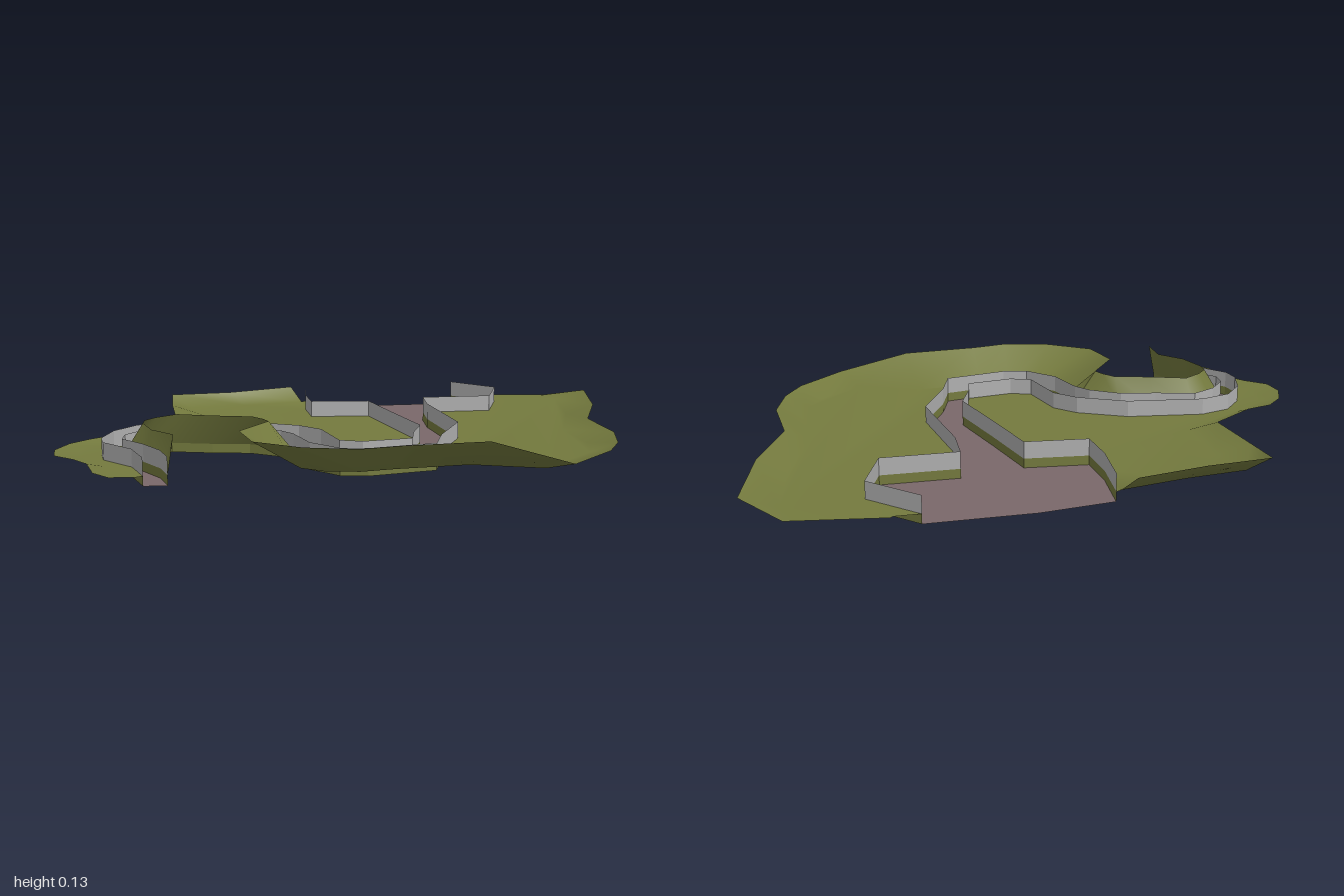
import * as THREE from 'three';
import { mergeVertices } from 'three/addons/utils/BufferGeometryUtils.js';

const GROUND = 0.03, RAIL_TOP = 0.085;
const mat = (name, color) => {
  const m = new THREE.MeshStandardMaterial({ color, side: THREE.DoubleSide });
  m.name = name;
  return m;
};

// Road edges as [x, z], from the open back end to the end of the hook
const leftEdge = [[-0.04, -0.7], [-0.08, -0.52], [-0.09, -0.375], [0.11, -0.335], [0.13, -0.1],
  [0.155, 0.15], [0.1, 0.26], [0.07, 0.35], [-0.09, 0.36], [-0.155, 0.325], [-0.17, 0.14],
  [-0.225, 0.06], [-0.37, -0.04], [-0.475, -0.065], [-0.62, -0.1], [-0.73, -0.075], [-0.81, 0.005],
  [-0.855, 0.11], [-0.855, 0.18], [-0.78, 0.3], [-0.76, 0.43]];
const rightField = [[0.53, -0.68], [0.65, -0.515], [0.565, -0.335], [0.32, -0.36], [0.295, -0.225],
  [0.29, 0.13], [0.175, 0.315], [0.12, 0.44], [-0.1, 0.465], [-0.18, 0.44], [-0.25, 0.335],
  [-0.27, 0.19]];
const rightHook = [[-0.3, 0.13], [-0.385, 0.055], [-0.5, 0.02], [-0.625, -0.03], [-0.715, 0.01],
  [-0.78, 0.075], [-0.795, 0.14], [-0.74, 0.235], [-0.7, 0.34], [-0.69, 0.44]];
const rightEdge = [...rightField, ...rightHook];

// Raised rims as [rim x, rim z, rim y, foot x, foot z]
const leftRim = [[-0.86, 0.47, 0.04, -0.78, 0.44], [-0.9, 0.4, 0.04, -0.83, 0.38],
  [-0.91, 0.27, 0.04, -0.86, 0.27], [-0.945, 0.2, 0.04, -0.9, 0.2], [-1, 0.13, 0.04, -0.92, 0.12],
  [-0.995, 0.04, 0.04, -0.92, 0.04], [-0.945, -0.05, 0.04, -0.88, -0.03],
  [-0.875, -0.11, 0.04, -0.83, -0.08], [-0.77, -0.145, 0.045, -0.74, -0.11],
  [-0.58, -0.285, 0.06, -0.5, -0.24], [-0.565, -0.53, 0.065, -0.46, -0.5],
  [-0.545, -0.7, 0.075, -0.48, -0.66], [-0.33, -0.7, 0.075, -0.28, -0.665],
  [-0.09, -0.74, 0.08, -0.06, -0.69]];
const fieldRim = [[-0.35, 0.2, 0.13, -0.27, 0.19], [-0.465, 0.335, 0.13, -0.3, 0.31],
  [-0.455, 0.5, 0.13, -0.3, 0.44], [-0.33, 0.62, 0.13, -0.24, 0.5], [-0.18, 0.68, 0.13, -0.14, 0.53],
  [-0.05, 0.665, 0.13, -0.03, 0.52], [0.21, 0.67, 0.13, 0.2, 0.52], [0.445, 0.735, 0.065, 0.4, 0.62],
  [0.62, 0.59, 0.065, 0.55, 0.53], [0.695, 0.48, 0.065, 0.62, 0.44], [0.755, 0.32, 0.065, 0.67, 0.3],
  [0.77, 0.08, 0.065, 0.68, 0.08], [0.9, -0.17, 0.065, 0.81, -0.2], [1, -0.48, 0.065, 0.89, -0.5],
  [0.9, -0.61, 0.031, 0.87, -0.6], [0.62, -0.682, 0.031, 0.61, -0.672]];
// Inner bank of the hook climbs straight from the road edge
const hookTop = [[-0.36, 0.16], [-0.385, 0.11], [-0.5, 0.065], [-0.61, 0.01], [-0.68, 0.05],
  [-0.72, 0.09], [-0.73, 0.14], [-0.715, 0.25], [-0.66, 0.34], [-0.68, 0.465]];
const hookRim = hookTop.map(([x, z], i) => [x, z, 0.13, ...rightHook[i]]);

function geometryFrom(triangles) {
  const g = new THREE.BufferGeometry();
  g.setAttribute('position', new THREE.Float32BufferAttribute(triangles.flat(2), 3));
  return g;
}

// Turn each triangle so that it faces up
function faceUp([a, b, c]) {
  const ny = (b[2] - a[2]) * (c[0] - a[0]) - (b[0] - a[0]) * (c[2] - a[2]);
  return ny < 0 ? [a, c, b] : [a, b, c];
}

function flatArea(outline, y) {
  const pts = outline.map(([x, z]) => new THREE.Vector2(x, z));
  if (THREE.ShapeUtils.isClockWise(pts)) pts.reverse();
  return THREE.ShapeUtils.triangulateShape(pts, [])
    .map((face) => faceUp(face.map((i) => [pts[i].x, y, pts[i].y])));
}

function bank(rim) {
  const tris = [];
  for (let i = 0; i < rim.length - 1; i++) {
    const [a, b] = [rim[i], rim[i + 1]];
    const [ra, rb] = [a, b].map((p) => [p[0], p[2], p[1]]);
    const [fa, fb] = [a, b].map((p) => [p[3], GROUND, p[4]]);
    tris.push(faceUp([ra, fa, fb]), faceUp([ra, fb, rb]));
  }
  return tris;
}

// Upright strip along a path
function wall(path, y0, y1) {
  const tris = [];
  for (let i = 0; i < path.length - 1; i++) {
    const [[ax, az], [bx, bz]] = [path[i], path[i + 1]];
    tris.push([[ax, y0, az], [bx, y0, bz], [bx, y1, bz]], [[ax, y0, az], [bx, y1, bz], [ax, y1, az]]);
  }
  return tris;
}

export function createModel() {
  const model = new THREE.Group();
  model.name = 'roadThroughTerrain';
  const grass = mat('grassGreen', 0x747a3e);
  const asphalt = mat('roadMauve', 0x7a686a);
  const metal = mat('railGrey', 0xb0b0b0);

  const add = (name, triangles, material, smooth = false) => {
    let g = geometryFrom(triangles);
    if (smooth) g = mergeVertices(g, 1e-4);
    g.computeVertexNormals();
    const mesh = new THREE.Mesh(g, material);
    mesh.name = name;
    model.add(mesh);
  };
  const foot = (p) => [p[3], p[4]];

  // Terrain on both sides of the road
  add('leftTerrain', [...flatArea([...leftRim.map(foot), ...leftEdge], GROUND), ...bank(leftRim)], grass, true);
  add('rightTerrain', [
    ...flatArea([...fieldRim.map(foot), ...rightField.slice(0, -1)], GROUND),
    ...bank(fieldRim),
  ], grass, true);
  add('hookBank', bank([fieldRim[0], ...hookRim]), grass, true);

  // Sunken road
  add('road', flatArea([...leftEdge, ...[...rightEdge].reverse(), [0.2, -0.71]], 0), asphalt);

  // Cutting walls and guard rails
  for (const [side, path] of [['left', leftEdge], ['right', rightEdge]]) {
    add(side + 'CuttingWall', wall(path, 0, GROUND), grass);
    add(side + 'GuardRail', wall(path, GROUND, RAIL_TOP), metal);
  }
  return model;
}
